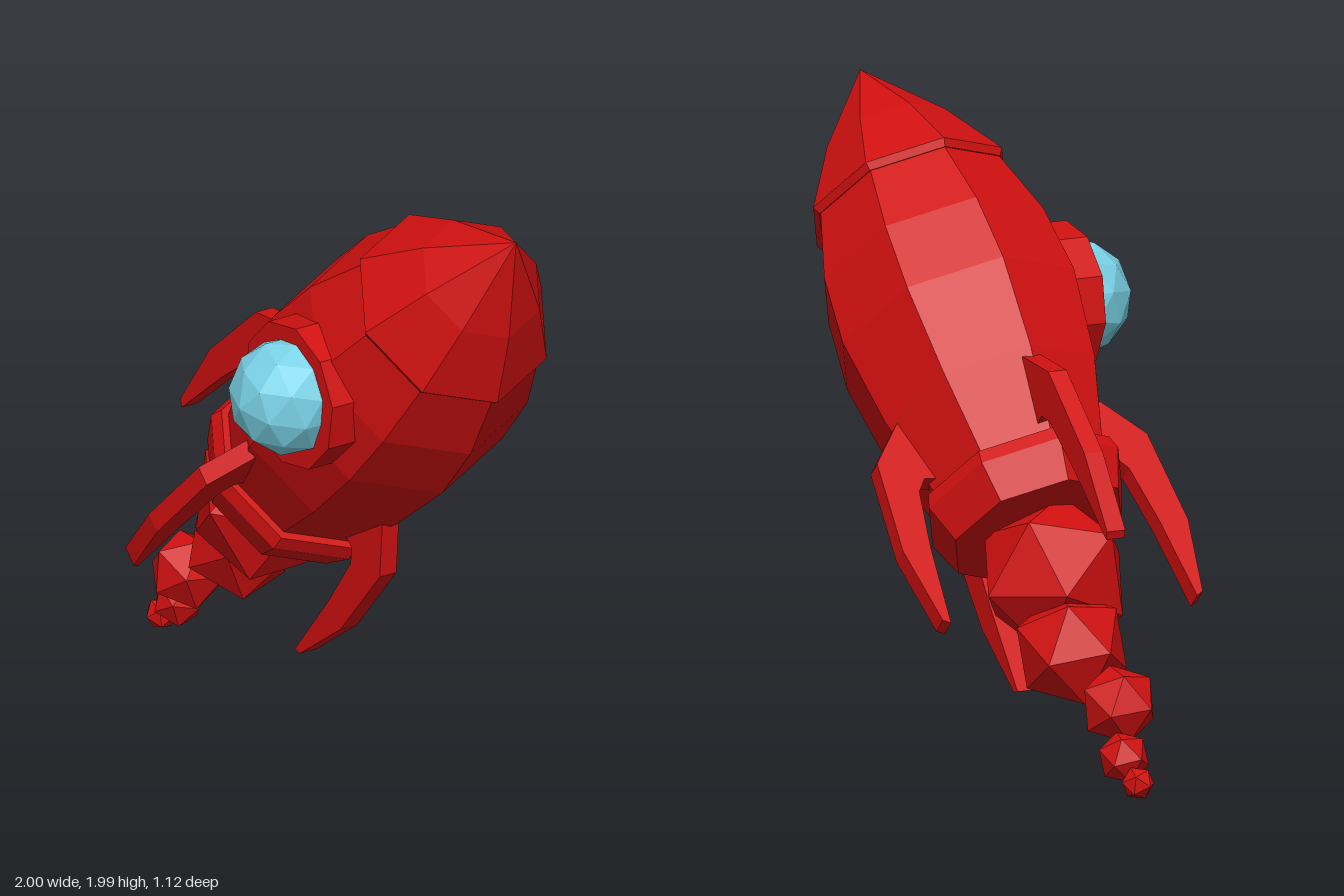
import * as THREE from 'three';

// Split vertices so every facet gets its own normal
function faceted(geometry) {
  const g = geometry.index ? geometry.toNonIndexed() : geometry;
  g.computeVertexNormals();
  return g;
}

export function createModel() {
  const model = new THREE.Group();
  model.name = 'rocket';
  const red = new THREE.MeshStandardMaterial({ color: 0xd01010 });
  red.name = 'red paint';
  const blue = new THREE.MeshStandardMaterial({ color: 0x78d0e4 });
  blue.name = 'blue glass';

  function add(parent, name, geometry, material) {
    const mesh = new THREE.Mesh(faceted(geometry), material);
    mesh.name = name;
    parent.add(mesh);
    return mesh;
  }
  // Eight-sided turned part from [radius, height] pairs, bottom to top
  const turned = (profile) =>
    new THREE.LatheGeometry(profile.map(([r, h]) => new THREE.Vector2(r, h)), 8);

  // The rocket stands along its own y axis and leans 45 degrees to its left
  const rocket = new THREE.Group();
  rocket.name = 'hull';
  rocket.position.set(0, 1, -0.05);
  rocket.rotation.z = -Math.PI / 4;
  model.add(rocket);

  add(rocket, 'body', turned([
    [0, -0.22], [0.295, -0.22], [0.382, 0.1], [0.422, 0.41], [0.4, 0.654], [0.325, 0.9], [0, 0.9],
  ]), red);
  add(rocket, 'noseCone', turned([
    [0, 0.895], [0.33, 0.895], [0.344, 0.92], [0.215, 1.14], [0, 1.41],
  ]), red);
  add(rocket, 'engineSkirt', turned([
    [0, -0.365], [0.297, -0.365], [0.345, -0.235], [0.33, -0.185], [0, -0.185],
  ]), red);

  // Four swept fins
  const finOutline = [
    [0.28, 0.05], [0.28, -0.15], [0.34, -0.145], [0.375, -0.19], [0.41, -0.4],
    [0.44, -0.688], [0.465, -0.674], [0.51, -0.403], [0.483, -0.07], [0.364, 0.068],
  ];
  const finShape = new THREE.Shape(finOutline.map(([r, h]) => new THREE.Vector2(r, h)));
  const thickness = 0.065;
  for (let i = 0; i < 4; i++) {
    const geometry = new THREE.ExtrudeGeometry(finShape, { depth: thickness, bevelEnabled: false });
    geometry.translate(0, 0, -thickness / 2);
    add(rocket, 'fin' + (i + 1), geometry, red).rotation.y = (i * Math.PI) / 2;
  }

  // Porthole: ten-sided frame with a glass dome
  const frame = new THREE.CylinderGeometry(0.245, 0.245, 0.17, 10);
  frame.rotateX(Math.PI / 2);
  frame.rotateZ(-Math.PI / 4);
  add(model, 'windowFrame', frame, red).position.set(0.335, 1.345, 0.285);
  const glass = add(model, 'windowGlass', new THREE.IcosahedronGeometry(0.193, 1), blue);
  glass.position.set(0.335, 1.345, 0.37);
  glass.rotation.z = -Math.PI / 4;

  // Exhaust puffs, shrinking along the trail: x, y, z, radius
  const puffs = [
    [-0.385, 0.625, -0.06, 0.26],
    [-0.57, 0.425, -0.09, 0.192],
    [-0.765, 0.275, -0.02, 0.132],
    [-0.868, 0.125, -0.055, 0.086],
    [-0.948, 0.056, -0.045, 0.055],
  ];
  puffs.forEach(([x, y, z, r], i) => {
    const puff = add(model, 'exhaustPuff' + (i + 1), new THREE.IcosahedronGeometry(r, 0), red);
    puff.position.set(x, y, z);
    puff.rotation.set(0.4 + i * 1.1, 0.3 + i * 0.7, 0.2 + i * 0.9);
  });

  return model;
}
